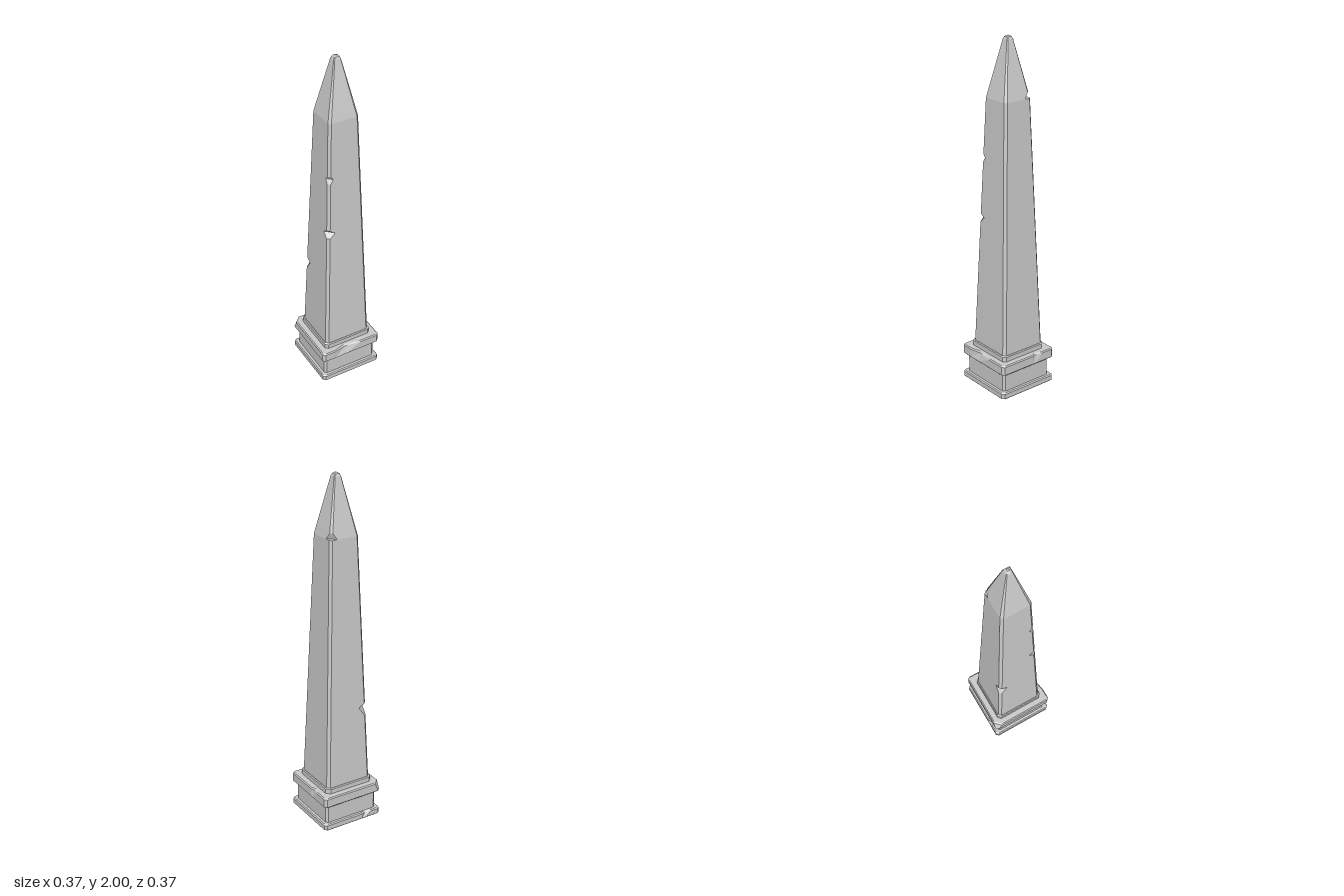
import * as THREE from 'three';

const material = new THREE.MeshStandardMaterial({ color: 0xcccccc, flatShading: true });

// Chamfered square outline, counterclockwise from above. Sides: +z, +x, -z, -x.
// corners[k] is the chamfer between side k and side k + 1; chips dent a side.
function outline(half, corners, chips = [], depthScale = 0) {
  const points = [];
  for (let k = 0; k < 4; k++) {
    const s = Math.round(Math.sin(k * Math.PI / 2)), c = Math.round(Math.cos(k * Math.PI / 2));
    const add = (t, inset = 0) => points.push([s * (half - inset) + c * t, c * (half - inset) - s * t]);
    add(-half + corners[(k + 3) % 4]);
    for (const chip of chips.filter(e => e.side === k)) {
      add(chip.from);
      add(chip.tip, chip.depth * depthScale);
      add(chip.to);
    }
    add(half - corners[k]);
  }
  return points;
}

// Closed skin over rings of equal point count, from bottom to top
function loft(name, rings) {
  const pos = [];
  const n = rings[0].points.length;
  const vertex = (r, i) => [r.points[i % n][0], r.y, r.points[i % n][1]];
  for (let j = 0; j < rings.length - 1; j++) {
    for (let i = 0; i < n; i++) {
      const a = vertex(rings[j], i), b = vertex(rings[j], i + 1);
      const c = vertex(rings[j + 1], i + 1), d = vertex(rings[j + 1], i);
      pos.push(...a, ...b, ...c, ...a, ...c, ...d);
    }
  }
  const low = rings[0], high = rings[rings.length - 1];
  for (let i = 0; i < n; i++) {
    pos.push(0, low.y, 0, ...vertex(low, i + 1), ...vertex(low, i));
    pos.push(0, high.y, 0, ...vertex(high, i), ...vertex(high, i + 1));
  }
  const geometry = new THREE.BufferGeometry();
  geometry.setAttribute('position', new THREE.Float32BufferAttribute(pos, 3));
  geometry.computeVertexNormals();
  const mesh = new THREE.Mesh(geometry, material);
  mesh.name = name;
  return mesh;
}

// Square slab with bevelled edges; chips deepen toward the top
function slab(name, y0, y1, half, bevel, corners, chips = [], topCorners = corners) {
  return loft(name, [
    { y: y0, points: outline(half - bevel, corners, chips, 0) },
    { y: y0 + bevel, points: outline(half, corners, chips, 0) },
    { y: y1 - bevel, points: outline(half, topCorners, chips, 0.75) },
    { y: y1, points: outline(half - bevel, topCorners, chips, 1) },
  ]);
}

// Tapering shaft, pointed top and notches broken out of its corners
function shaft() {
  const profile = [
    [0.24, 0.14, 0.015], [1.67, 0.088, 0.013], [1.98, 0.021, 0.004],
    [1.994, 0.015, 0.003], [2.0, 0.006, 0.001],
  ];
  const notches = [
    { corner: 2, low: 0.63, mid: 0.685, high: 0.705, cut: 0.05 },
    { corner: 3, low: 0.97, mid: 1.0, high: 1.02, cut: 0.045 },
    { corner: 3, low: 1.315, mid: 1.34, high: 1.36, cut: 0.03 },
    { corner: 1, low: 1.635, mid: 1.672, high: 1.705, cut: 0.042 },
  ];
  const sample = (y) => {
    let i = 0;
    while (i < profile.length - 2 && y > profile[i + 1][0]) i++;
    const [a, b] = [profile[i], profile[i + 1]];
    const t = (y - a[0]) / (b[0] - a[0]);
    return [1, 2].map(k => a[k] + (b[k] - a[k]) * t);
  };
  const levels = profile.map(p => ({ y: p[0] }));
  for (const e of notches) {
    levels.push({ y: e.low }, { y: e.mid, notch: e }, { y: e.high });
  }
  levels.sort((a, b) => a.y - b.y);
  return loft('shaft', levels.map(({ y, notch }) => {
    const [half, chamfer] = sample(y);
    const corners = [0, 1, 2, 3].map(k => (notch && notch.corner === k ? notch.cut : chamfer));
    return { y, points: outline(half, corners) };
  }));
}

export function createModel() {
  const group = new THREE.Group();
  group.name = 'obelisk';
  const even = c => [c, c, c, c];

  // Stepped pedestal
  group.add(slab('baseSlab', 0, 0.04, 0.186, 0.006, even(0.014),
    [{ side: 2, from: 0.06, tip: 0.09, to: 0.12, depth: 0.02 }]));
  group.add(slab('pedestalBlock', 0.035, 0.155, 0.165, 0.004, even(0.013)));
  group.add(slab('capSlab', 0.15, 0.21, 0.186, 0.006, even(0.014), [
    { side: 0, from: -0.11, tip: -0.035, to: 0.06, depth: 0.019 },
    { side: 1, from: 0.03, tip: 0.055, to: 0.095, depth: 0.012 },
  ], [0.014, 0.014, 0.038, 0.014]));
  group.add(slab('shaftFooting', 0.205, 0.243, 0.148, 0.005, [0.016, 0.022, 0.016, 0.016]));

  group.add(shaft());
  return group;
}
